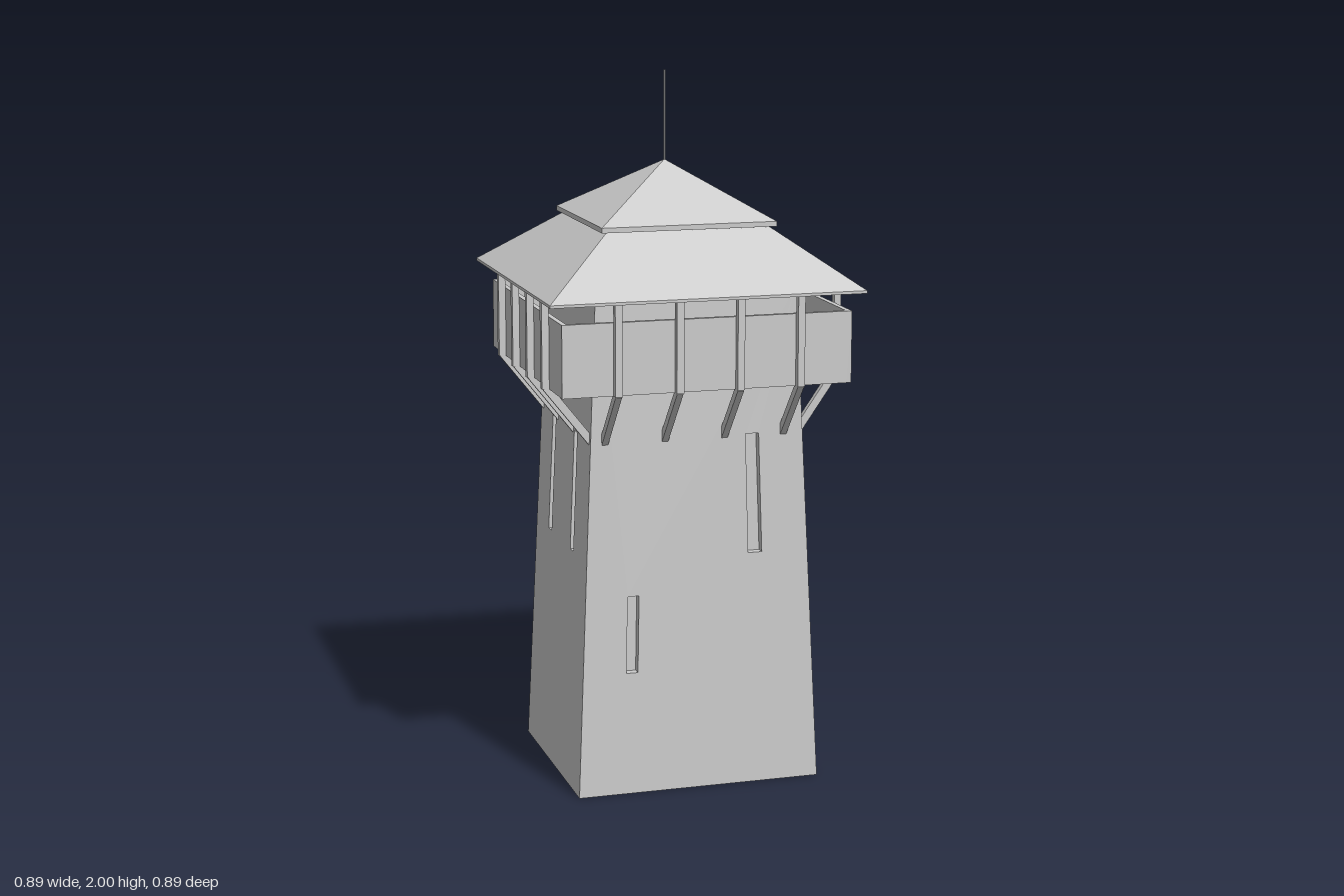
import * as THREE from 'three';

const grey = new THREE.MeshStandardMaterial({ color: 0xcccccc, flatShading: true });

function add(parent, name, geometry, x = 0, y = 0, z = 0) {
  const mesh = new THREE.Mesh(geometry, grey);
  mesh.name = name;
  mesh.position.set(x, y, z);
  parent.add(mesh);
  return mesh;
}

// Square frustum given by half-widths, standing on y = 0
function frustum(top, bottom, height) {
  return new THREE.CylinderGeometry(top * Math.SQRT2, bottom * Math.SQRT2, height, 4)
    .rotateY(Math.PI / 4).translate(0, height / 2, 0);
}

// Tapering tower dimensions
const CX = 0.013, CZ = 0.003, TOP = 1.42, RECESS = 0.025;
const halfX = (y) => 0.352 - 0.045 * y;
const halfZ = (y) => 0.306 - 0.027 * y;

// Arrow slots as [u0, u1, y0, y1], u being a fraction of the wall's half-width
const faceSlots = [[0.455, 0.58, 0.67, 1.01], [-0.63, -0.53, 0.35, 0.57]];
const sideSlots = [[-0.48, -0.365, 0.67, 1.01], [0.385, 0.505, 0.67, 1.01]];

// One wall with slots cut in, mitred at the corners, facing +z
function wallGeometry(slots, halfWidth, halfDepth) {
  const shape = new THREE.Shape([[-1, 0], [1, 0], [1, TOP], [-1, TOP]].map((p) => new THREE.Vector2(...p)));
  for (const [a, b, y0, y1] of slots) {
    shape.holes.push(new THREE.Path([[a, y0], [a, y1], [b, y1], [b, y0]].map((p) => new THREE.Vector2(...p))));
  }
  const g = new THREE.ExtrudeGeometry(shape, { depth: 1, bevelEnabled: false });
  const pos = g.attributes.position;
  for (let i = 0; i < pos.count; i++) {
    const y = pos.getY(i), inset = (1 - pos.getZ(i)) * RECESS;
    // slots keep their full width through the wall, corners are mitred
    const u = pos.getX(i), corner = Math.abs(u) === 1 ? Math.sign(u) * inset : 0;
    pos.setXYZ(i, u * halfWidth(y) - corner, y, halfDepth(y) - inset);
  }
  g.computeVertexNormals();
  return g;
}

// Solid core behind the slots
function coreGeometry() {
  const g = new THREE.BoxGeometry(2, TOP, 2).translate(0, TOP / 2, 0);
  const pos = g.attributes.position;
  for (let i = 0; i < pos.count; i++) {
    const y = pos.getY(i);
    pos.setX(i, pos.getX(i) * (halfX(y) - RECESS));
    pos.setZ(i, pos.getZ(i) * (halfZ(y) - RECESS));
  }
  g.computeVertexNormals();
  return g;
}

export function createModel() {
  const model = new THREE.Group();
  model.name = 'watchtower';

  // Tower shaft
  const shaft = new THREE.Group();
  shaft.name = 'shaft';
  shaft.position.set(CX, 0, CZ);
  model.add(shaft);
  add(shaft, 'shaftCore', coreGeometry());
  const mirrored = faceSlots.map(([a, b, y0, y1]) => [-b, -a, y0, y1]);
  const walls = [
    ['frontWall', faceSlots, halfX, halfZ],
    ['leftWall', sideSlots, halfZ, halfX],
    ['backWall', mirrored, halfX, halfZ],
    ['rightWall', sideSlots.map(([a, b, y0, y1]) => [-b, -a, y0, y1]), halfZ, halfX],
  ];
  walls.forEach(([name, slots, w, d], i) => {
    add(shaft, name, wallGeometry(slots, w, d)).rotation.y = i * Math.PI / 2;
  });

  // Gallery: floor, parapets, posts and braces on all four sides
  const gallery = new THREE.Group();
  gallery.name = 'gallery';
  gallery.position.set(0.005, 0, 0);
  model.add(gallery);
  const OUT = 0.41, FLOOR = 1.165, RAIL = 1.365, POST = 0.02;
  add(gallery, 'galleryFloor', new THREE.BoxGeometry(2 * OUT - 0.004, 0.015, 2 * OUT - 0.004), 0, FLOOR + 0.0085, 0);

  const wallAtFoot = [halfZ(1) + CZ, halfX(1) + CX - 0.005, halfZ(1) - CZ, halfX(1) - CX + 0.005];
  wallAtFoot.forEach((wall, i) => {
    const side = new THREE.Group();
    side.name = 'gallerySide';
    side.rotation.y = i * Math.PI / 2;
    gallery.add(side);
    add(side, 'parapet', new THREE.BoxGeometry(2 * OUT, RAIL - FLOOR, 0.015), 0, (RAIL + FLOOR) / 2, OUT - 0.0075);

    const from = new THREE.Vector2(wall - 0.008, 1.01);
    const to = new THREE.Vector2(OUT + 0.008, FLOOR + 0.005);
    const run = to.clone().sub(from);
    for (let k = 0; k < 4; k++) {
      const x = (k - 1.5) * 0.172;
      add(side, 'post', new THREE.BoxGeometry(POST, 1.425 - FLOOR, POST), x, (1.425 + FLOOR) / 2, OUT + POST / 2);
      const brace = add(side, 'brace', new THREE.BoxGeometry(POST * 0.9, run.length(), 0.022),
        x, (from.y + to.y) / 2, (from.x + to.x) / 2);
      brace.rotation.x = Math.atan2(run.x, run.y);
    }
  });

  // Two-tier roof with thin eaves and a mast
  const roof = new THREE.Group();
  roof.name = 'roof';
  model.add(roof);
  add(roof, 'lowerEave', frustum(0.445, 0.445, 0.008), 0, 1.417, 0);
  add(roof, 'lowerRoof', frustum(0.228, 0.445, 0.16), 0, 1.425, 0);
  add(roof, 'upperEave', frustum(0.25, 0.25, 0.014), 0, 1.583, 0);
  add(roof, 'upperRoof', frustum(0.0005, 0.25, 0.153), 0, 1.597, 0);
  add(roof, 'mast', new THREE.CylinderGeometry(0.003, 0.003, 0.27, 6), 0, 1.865, 0);

  return model;
}
